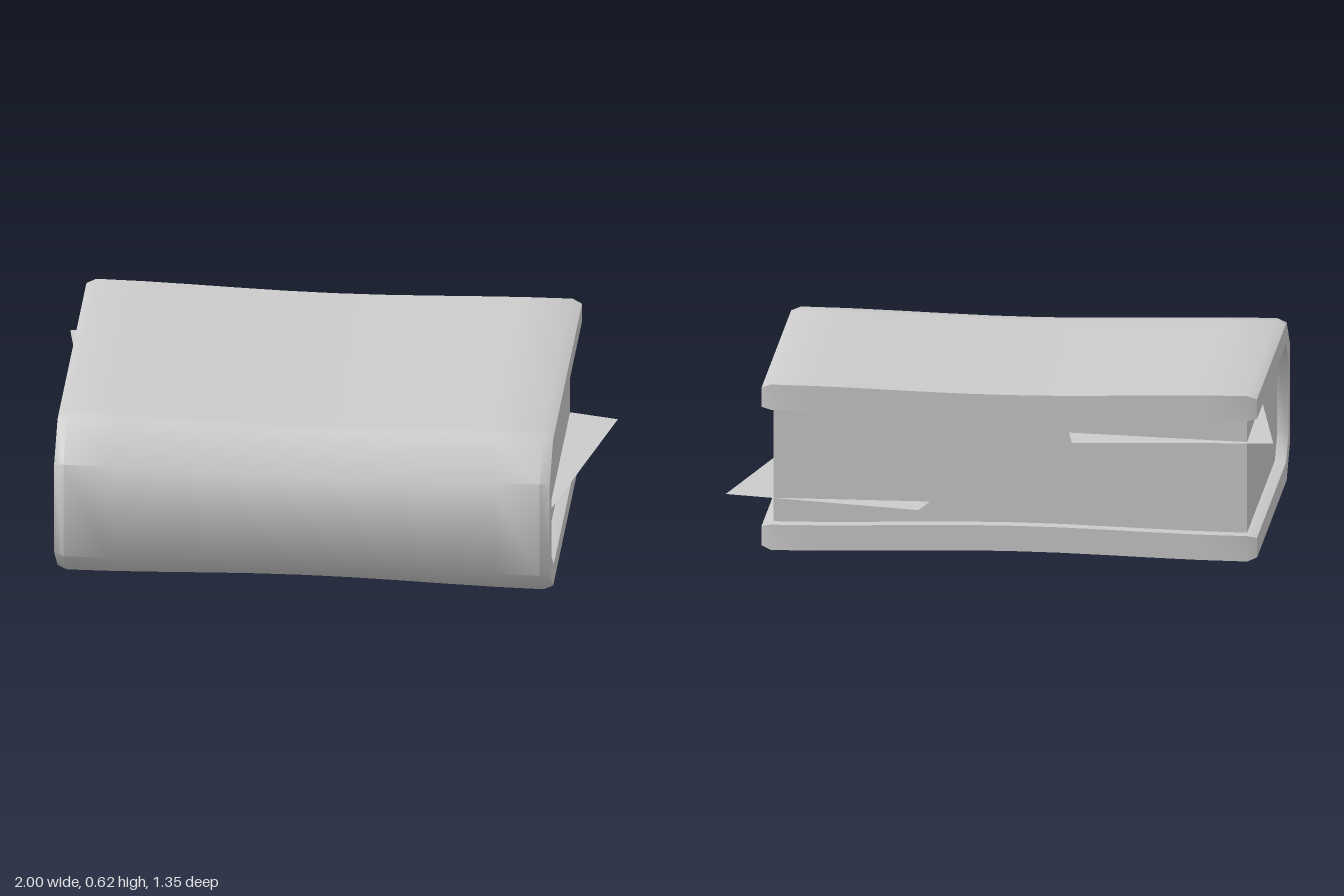
import * as THREE from 'three';
import { toCreasedNormals } from 'three/addons/utils/BufferGeometryUtils.js';

const MID_X = -0.0425, HALF = 0.9025, MID_Y = 0.31;

// Closed C-shaped loop of [z, y] from the upper half of its outer and inner lines
function loop(outer, inner) {
  const flip = (pts) => pts.map(([z, y]) => [z, 2 * MID_Y - y]).reverse();
  return [...outer, ...flip(outer), ...flip(flip(inner)).map(([z, y]) => [z, 2 * MID_Y - y]), ...inner.slice().reverse()];
}

// Cover: one wrapped board, bevelled at both ends and slightly waisted in the middle
function coverGeometry() {
  const full = loop(
    [[-0.6, 0.62], [0.48, 0.62], [0.53, 0.62], [0.675, 0.495]],
    [[-0.6, 0.525], [0.44, 0.525], [0.495, 0.525], [0.575, 0.45]]);
  const end = loop(
    [[-0.59, 0.606], [0.475, 0.606], [0.525, 0.606], [0.66, 0.488]],
    [[-0.59, 0.533], [0.445, 0.533], [0.5, 0.533], [0.59, 0.457]]);
  const n = full.length, steps = 10, inner = HALF - 0.035;
  const stations = [[-HALF, end]];
  for (let i = 0; i <= steps; i++) stations.push([inner * (2 * i / steps - 1), full]);
  stations.push([HALF, end]);

  const pos = [], idx = [];
  for (const [x, profile] of stations) {
    const waist = 0.018 * (1 + Math.cos(Math.PI * Math.min(1, Math.abs(x) / inner))) / 2;
    for (const [z, y] of profile) pos.push(MID_X + x, y - Math.sign(y - MID_Y) * waist, z);
  }
  const quad = (a, b, c, d) => idx.push(a, b, c, a, c, d);
  for (let s = 0; s < stations.length - 1; s++) {
    for (let i = 0; i < n; i++) {
      const j = (i + 1) % n, p = s * n, q = p + n;
      quad(p + i, p + j, q + j, q + i);
    }
  }
  // flat end faces, between the outer and inner lines
  const last = (stations.length - 1) * n;
  for (let i = 0; i < n / 2 - 1; i++) {
    const o = n - 1 - i;
    quad(last + i, last + i + 1, last + o - 1, last + o);
    quad(o, o - 1, i + 1, i);
  }
  const geo = new THREE.BufferGeometry();
  geo.setAttribute('position', new THREE.Float32BufferAttribute(pos, 3));
  geo.setIndex(idx);
  return toCreasedNormals(geo, 0.9);
}

// Flat rectangular sheet from one corner and its two edge vectors
function sheetGeometry(corner, u, v) {
  const at = (a, b) => corner.map((c, k) => c + a * u[k] + b * v[k]);
  const geo = new THREE.BufferGeometry();
  geo.setAttribute('position', new THREE.Float32BufferAttribute(
    [at(0, 0), at(0, 1), at(1, 1), at(1, 0)].flat(), 3));
  geo.setIndex([0, 1, 2, 0, 2, 3]);
  geo.computeVertexNormals();
  return geo;
}

export function createModel() {
  const group = new THREE.Group();
  const solid = new THREE.MeshStandardMaterial({ color: 0xcccccc });
  const thin = new THREE.MeshStandardMaterial({ color: 0xcccccc, side: THREE.DoubleSide });
  const add = (name, geo, mat) => {
    const mesh = new THREE.Mesh(geo, mat);
    mesh.name = name;
    group.add(mesh);
    return mesh;
  };

  add('cover', coverGeometry(), solid);

  // Page block, let into the cover on three sides
  add('pages', new THREE.BoxGeometry(1.725, 0.46, 1.135), solid).position.set(MID_X, MID_Y, 0.0175);

  // Two loose sheets sticking out at the back corners
  add('lowerLooseSheet', sheetGeometry([0.28, 0.183, -0.677], [0.718, 0, 0.164], [-0.208, 0, 0.91]), thin);
  add('upperLooseSheet', sheetGeometry([-1, 0.432, -0.55], [0.722, 0.017, -0.126], [0.157, 0.036, 0.9]), thin);

  return group;
}
